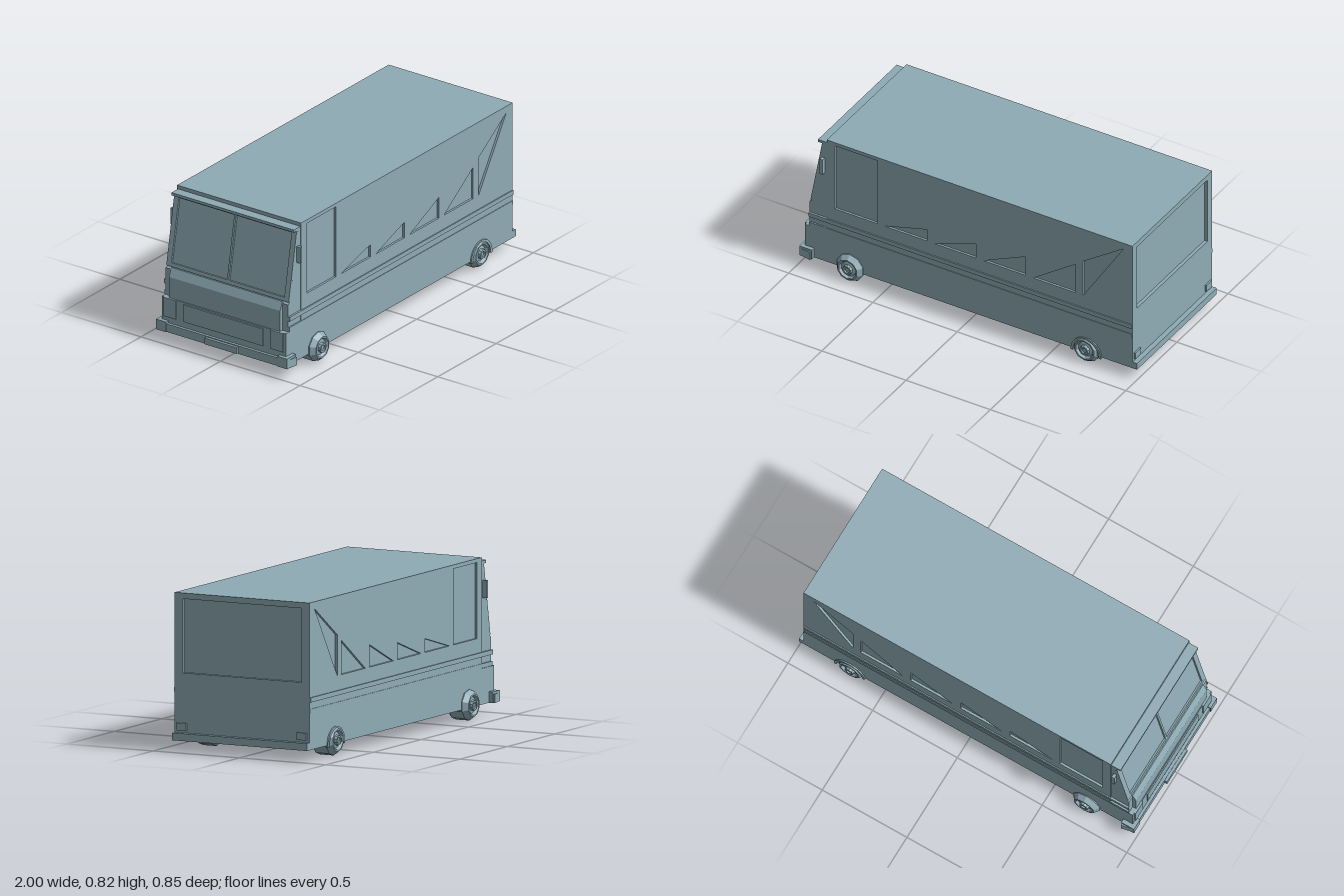
import * as THREE from 'three';
import { toCreasedNormals } from 'three/addons/utils/BufferGeometryUtils.js';

export function createModel() {
  const van = new THREE.Group();
  van.name = 'stepVan';
  const paint = new THREE.MeshStandardMaterial({ color: 0x8fabb5 });
  paint.name = 'paleBlueGrey';

  const add = (name, geometry, parent = van) => {
    const mesh = new THREE.Mesh(geometry, paint);
    mesh.name = name;
    parent.add(mesh);
    return mesh;
  };
  // Box from its lower and upper corners
  const box = (name, x0, x1, y0, y1, z0, z1) => {
    const mesh = add(name, new THREE.BoxGeometry(x1 - x0, y1 - y0, z1 - z0));
    mesh.position.set((x0 + x1) / 2, (y0 + y1) / 2, (z0 + z1) / 2);
    return mesh;
  };
  const points = (list) => list.map(([x, y]) => new THREE.Vector2(x, y));
  const rect = (x0, x1, y0, y1) => [[x0, y0], [x1, y0], [x1, y1], [x0, y1]];
  const plate = (outline, holes, depth) => {
    const shape = new THREE.Shape(points(outline));
    holes.forEach((h) => shape.holes.push(new THREE.Path(points(h))));
    return new THREE.ExtrudeGeometry(shape, { depth, bevelEnabled: false });
  };

  // Cargo body: inner core, roof and panels with recessed windows
  box('bodyCore', -0.84, 0.955, 0.065, 0.82, -0.378, 0.378);
  const sideWindows = [
    rect(-0.79, -0.54, 0.41, 0.8),
    [[-0.5, 0.41], [-0.245, 0.41], [-0.245, 0.48]],
    [[-0.2, 0.41], [0.045, 0.41], [0.045, 0.497]],
    [[0.09, 0.41], [0.34, 0.41], [0.34, 0.525]],
    [[0.385, 0.41], [0.635, 0.41], [0.635, 0.585]],
    [[0.68, 0.41], [0.92, 0.785], [0.68, 0.62]],
  ];
  for (const z of [0.378, -0.39]) {
    add('sidePanel', plate(rect(-0.84, 0.955, 0.065, 0.82), sideWindows, 0.012)).position.z = z;
  }
  const rear = add('rearPanel', plate(rect(-0.39, 0.39, 0.065, 0.82), [rect(-0.345, 0.345, 0.41, 0.79)], 0.018));
  rear.rotation.y = Math.PI / 2;
  rear.position.x = 0.955;
  box('rearBumper', 0.973, 1, 0.065, 0.103, -0.39, 0.39);

  // Cab with raked windscreen
  const cab = [[-0.84, 0.25], [-0.84, 0.79], [-0.86, 0.79], [-0.93, 0.41], [-0.945, 0.4], [-0.945, 0.25]].reverse();
  add('cab', plate(cab, [], 0.77)).position.z = -0.385;
  box('cabBase', -0.97, -0.84, 0.065, 0.25, -0.39, 0.39);
  const nose = [[-0.94, 0.25], [-0.94, 0.41], [-0.945, 0.41], [-0.966, 0.365], [-0.966, 0.25]].reverse();
  add('nose', plate(nose, [], 0.7)).position.z = -0.35;
  const screen = add('windscreenFrame', plate(
    rect(-0.385, 0.385, 0, 0.386),
    [rect(-0.355, -0.006, 0.02, 0.365), rect(0.006, 0.355, 0.02, 0.365)], 0.01));
  screen.position.set(-0.93, 0.41, 0);
  screen.rotation.set(-0.182, -Math.PI / 2, 0, 'YXZ');
  box('sunVisor', -0.895, -0.84, 0.785, 0.8, -0.385, 0.385);
  box('grillePlate', -0.976, -0.969, 0.145, 0.24, -0.25, 0.25);

  // Front bumper, flared at the ends
  const bumper = [[-0.985, -0.41], [-0.92, -0.422], [-0.92, 0.422], [-0.985, 0.41]];
  const front = add('frontBumper', plate(bumper, [], 0.045));
  front.rotation.x = Math.PI / 2;
  front.position.y = 0.11;
  box('numberPlate', -1, -0.985, 0.07, 0.105, -0.1, 0.1);

  // Tyre profile along the axle, from the inner face to the hub cap
  const profile = points([
    [0, 0.295], [0.055, 0.295], [0.08, 0.318], [0.08, 0.395], [0.06, 0.422],
    [0.052, 0.422], [0.043, 0.408], [0.028, 0.412], [0.025, 0.427], [0.016, 0.427], [0.014, 0.42], [0, 0.42],
  ]);
  const wheelGeometry = toCreasedNormals(new THREE.LatheGeometry(profile, 10), 0.3);
  wheelGeometry.rotateX(Math.PI / 2);

  // Half-ring arch lip
  const arch = new THREE.Shape();
  arch.absarc(0, 0, 0.09, -0.1, Math.PI + 0.1, false);
  arch.absarc(0, 0, 0.076, Math.PI + 0.1, -0.1, true);
  const archGeometry = new THREE.ExtrudeGeometry(arch, { depth: 0.012, bevelEnabled: false, curveSegments: 6 });

  for (const s of [1, -1]) {
    const sideBox = (name, x0, x1, y0, y1, z0, z1) =>
      box(name, x0, x1, y0, y1, Math.min(s * z0, s * z1), Math.max(s * z0, s * z1));
    sideBox('upperTrim', -0.945, 0.97, 0.31, 0.334, 0.38, 0.396);
    sideBox('lowerTrim', -0.945, 0.97, 0.252, 0.275, 0.38, 0.393);
    sideBox('tailLight', 0.97, 0.982, 0.115, 0.153, 0.32, 0.375);
    sideBox('headlight', -0.978, -0.965, 0.145, 0.25, 0.3, 0.375);
    sideBox('bumperEnd', -0.99, -0.915, 0.065, 0.122, 0.35, 0.412);
    sideBox('mirror', -0.872, -0.855, 0.61, 0.7, 0.38, 0.408);
    const frontWheel = add('frontWheel', wheelGeometry);
    frontWheel.position.set(-0.7, 0.082, 0);
    const rearWheel = add('rearWheel', wheelGeometry);
    rearWheel.position.set(0.695, 0.082, -0.018 * s);
    if (s < 0) frontWheel.rotation.y = rearWheel.rotation.y = Math.PI;
    add('wheelArch', archGeometry).position.set(0.7, 0.065, s > 0 ? 0.385 : -0.397);
  }
  return van;
}
